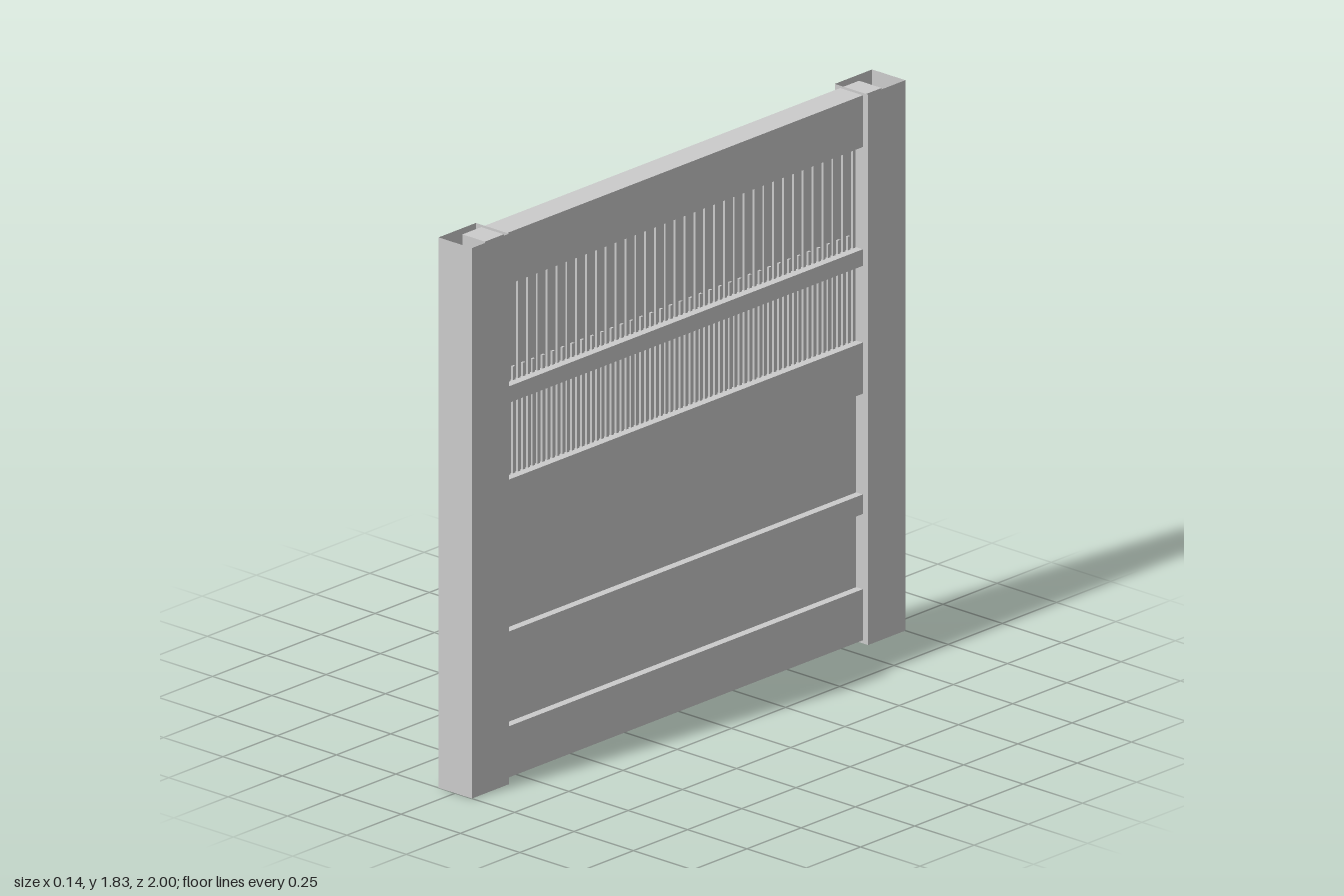
import * as THREE from 'three';

const grey = new THREE.MeshStandardMaterial({ color: 0xcccccc, flatShading: true });
const thin = new THREE.MeshStandardMaterial({ color: 0xcccccc, flatShading: true, side: THREE.DoubleSide });

// Box spanning y0..y1, centred on x = 0
function slab(name, depth, y0, y1, width, z = 0) {
  const mesh = new THREE.Mesh(new THREE.BoxGeometry(depth, y1 - y0, width), grey);
  mesh.name = name;
  mesh.position.set(0, (y0 + y1) / 2, z);
  return mesh;
}

export function createModel() {
  const gate = new THREE.Group();
  gate.name = 'gate';

  // Hollow square posts, open at top and bottom
  const postHeight = 1.83, postDepth = 0.14, postWidth = 0.172;
  for (const side of [1, -1]) {
    const tube = new THREE.CylinderGeometry(Math.SQRT1_2, Math.SQRT1_2, postHeight, 4, 1, true);
    tube.rotateY(Math.PI / 4).scale(postDepth, 1, postWidth);
    const post = new THREE.Mesh(tube, thin);
    post.name = side > 0 ? 'frontPost' : 'backPost';
    post.position.set(0, postHeight / 2, side * (1 - postWidth / 2));
    gate.add(post);
  }

  // Horizontal rails, running into the middle of each post
  const rails = [
    ['bottomRail', 0.01, 0.18],
    ['lowerRail', 0.43, 0.495],
    ['middleRail', 0.83, 1.0],
    ['barRail', 1.255, 1.31],
    ['topRail', 1.65, 1.822],
  ];
  for (const [name, y0, y1] of rails) gate.add(slab(name, 0.095, y0, y1, 1.83));

  // Recessed panels between the rails
  gate.add(slab('lowerPanel', 0.04, 0.17, 0.44, 1.68));
  gate.add(slab('upperPanel', 0.04, 0.485, 0.84, 1.68));
  gate.add(slab('barBacking', 0.024, 0.99, 1.66, 1.68));

  // Tall bars with short bars in between
  const bars = new THREE.Group();
  bars.name = 'bars';
  const pitch = 1.636 / 36;
  for (let i = 0; i <= 36; i++) {
    const z = 0.818 - i * pitch;
    bars.add(slab('tallBar', 0.04, 0.99, 1.66, 0.011, z));
    if (i < 36) bars.add(slab('shortBar', 0.04, 0.99, 1.355, 0.011, z - pitch / 2));
  }
  gate.add(bars);

  return gate;
}
